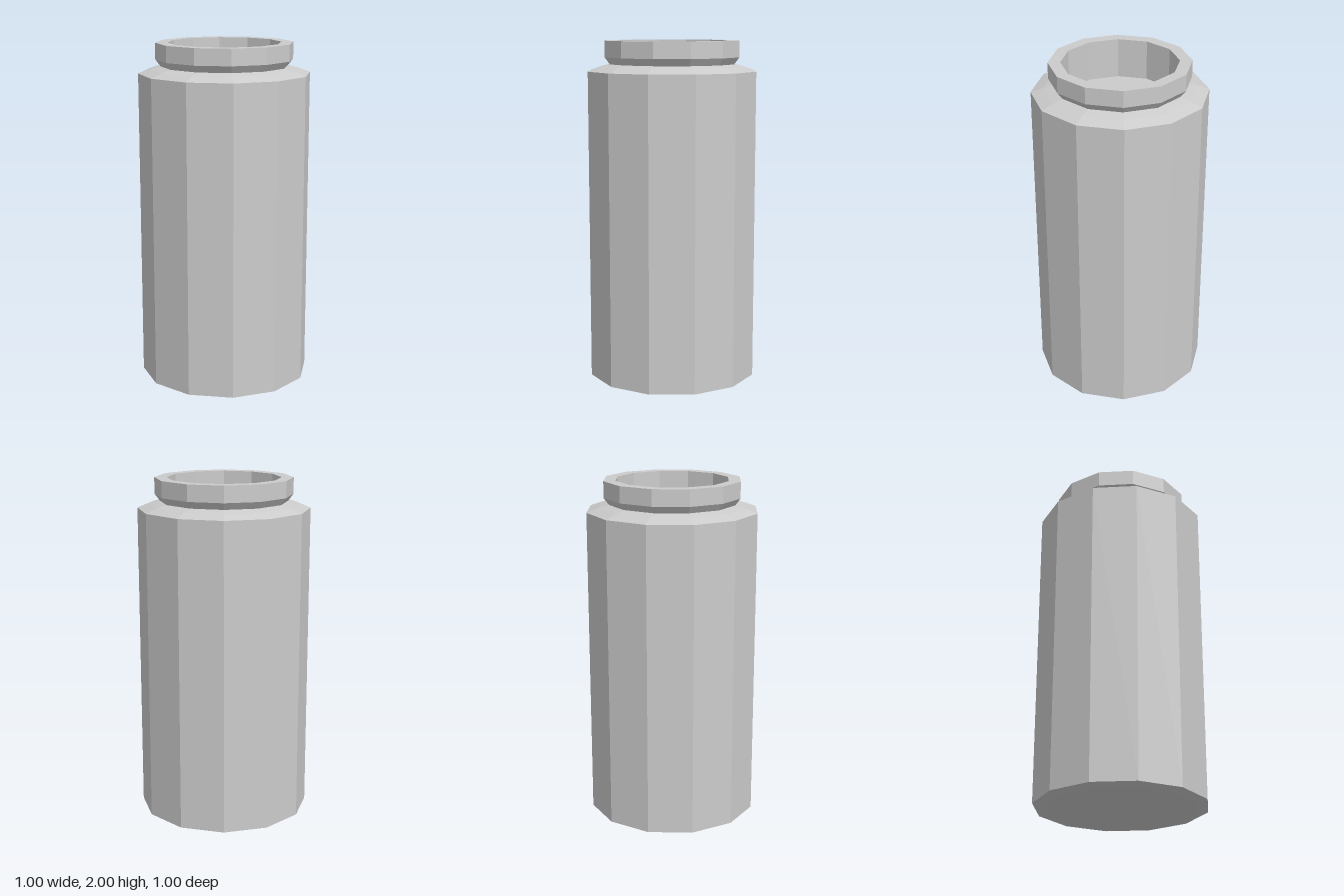
import * as THREE from 'three';

const SIDES = 12;

export function createModel() {
  const group = new THREE.Group();
  group.name = 'jar';
  const material = new THREE.MeshStandardMaterial({ color: 0xcccccc, flatShading: true });

  // Revolve a [radius, height] profile, listed from bottom to top on the outside
  const turn = (name, profile) => {
    const points = profile.map(([r, y]) => new THREE.Vector2(r, y));
    const mesh = new THREE.Mesh(new THREE.LatheGeometry(points, SIDES), material);
    mesh.name = name;
    group.add(mesh);
  };

  // Base, chamfered foot, straight wall and sloping shoulder up to the neck
  turn('body', [
    [0, 0], [0.44, 0], [0.5, 0.015], [0.5, 1.825], [0.43, 1.85], [0.37, 1.865],
  ]);

  // Flared collar, flat lip, inner wall and recessed floor
  turn('neckRim', [
    [0.37, 1.865], [0.4, 1.905], [0.4, 2], [0.33, 2], [0.33, 1.77], [0, 1.77],
  ]);

  return group;
}
